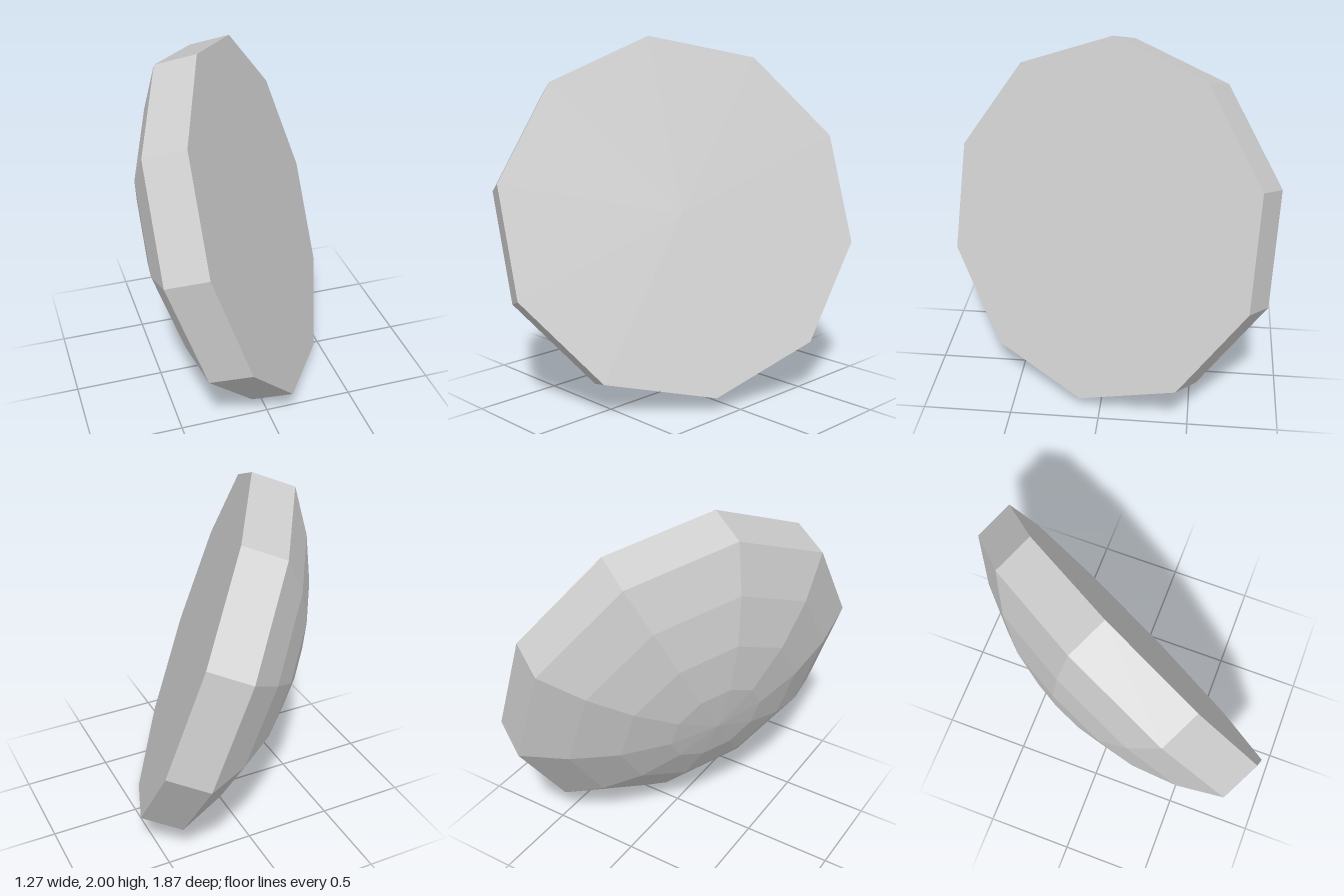
import * as THREE from 'three';

const SIDES = 10;
const RADIUS = 1.017;
const THICKNESS = 0.24;
const DOME_HEIGHT = 0.35;

export function createModel() {
  const stone = new THREE.MeshStandardMaterial({ color: 0xcccccc, flatShading: true });
  stone.name = 'light grey';

  const group = new THREE.Group();
  group.name = 'domedDisc';

  // Each part is turned around the local y axis, which points out of the flat face
  const addPart = (name, profile) => {
    const points = profile.map(([r, y]) => new THREE.Vector2(r, y));
    const mesh = new THREE.Mesh(new THREE.LatheGeometry(points, SIDES), stone);
    mesh.name = name;
    group.add(mesh);
  };

  // Shallow spherical cap behind the rim, from the pole outwards
  const sphereRadius = (RADIUS ** 2 + DOME_HEIGHT ** 2) / (2 * DOME_HEIGHT);
  const capAngle = Math.asin(RADIUS / sphereRadius);
  const rings = 4;
  const dome = [];
  for (let i = 0; i <= rings; i++) {
    const a = (capAngle * i) / rings;
    dome.push([
      sphereRadius * Math.sin(a),
      -THICKNESS - DOME_HEIGHT + sphereRadius * (1 - Math.cos(a)),
    ]);
  }
  addPart('dome', dome);

  // Straight ten-sided rim and flat front face
  addPart('rim', [[RADIUS, -THICKNESS], [RADIUS, 0]]);
  addPart('flatFace', [[RADIUS, 0], [0, 0]]);

  // Tilt: y axis along the face normal, z axis towards the topmost corner
  const normal = new THREE.Vector3(0.836, 0.315, 0.449).normalize();
  const corner = new THREE.Vector3(-0.33, 0.96, -0.06);
  const side = new THREE.Vector3().crossVectors(normal, corner).normalize();
  corner.crossVectors(side, normal).normalize();
  group.quaternion.setFromRotationMatrix(new THREE.Matrix4().makeBasis(side, normal, corner));
  group.position.set(0.1, 1.04, 0.053);

  const model = new THREE.Group();
  model.name = 'model';
  model.add(group);
  return model;
}
